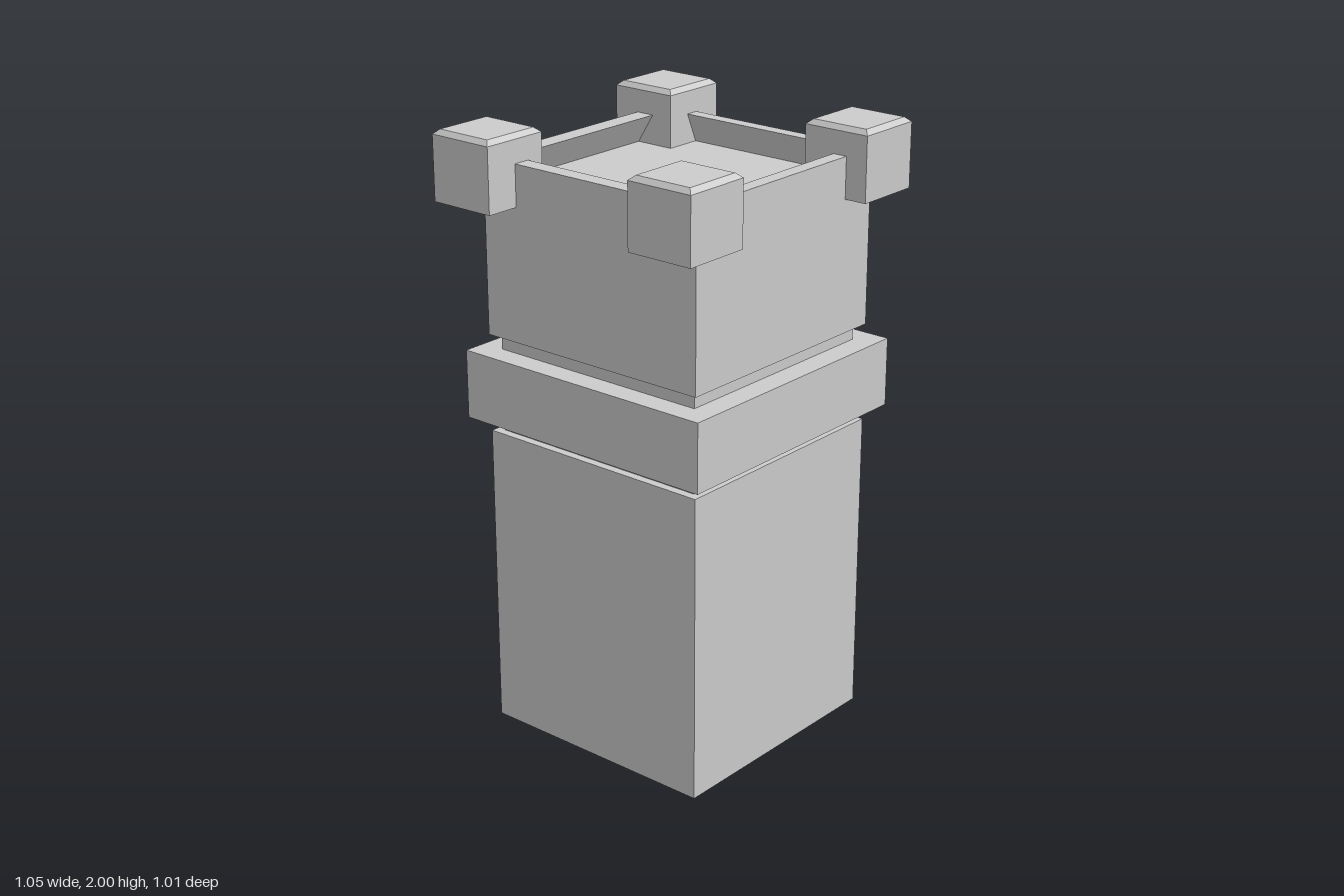
import * as THREE from 'three';

const material = new THREE.MeshStandardMaterial({ color: 0xcccccc, flatShading: true });

// Skin a stack of rectangles [y, x0, x1, z0, z1], closing both ends
function loft(name, sections) {
  const pos = [];
  const rings = sections.map(([y, x0, x1, z0, z1]) =>
    [[x0, y, z1], [x1, y, z1], [x1, y, z0], [x0, y, z0]]);
  const quad = (a, b, c, d) => pos.push(...a, ...b, ...c, ...a, ...c, ...d);
  for (let i = 0; i < rings.length - 1; i++) {
    const lo = rings[i], hi = rings[i + 1];
    for (let k = 0; k < 4; k++) {
      const n = (k + 1) % 4;
      quad(lo[k], lo[n], hi[n], hi[k]);
    }
  }
  const first = rings[0], last = rings[rings.length - 1];
  quad(first[3], first[2], first[1], first[0]);
  quad(last[0], last[1], last[2], last[3]);
  const geometry = new THREE.BufferGeometry();
  geometry.setAttribute('position', new THREE.Float32BufferAttribute(pos, 3));
  geometry.computeVertexNormals();
  const mesh = new THREE.Mesh(geometry, material);
  mesh.name = name;
  return mesh;
}

export function createModel() {
  const tower = new THREE.Group();
  tower.name = 'tower';

  // Square section of a given half width about the tower's axis
  const cx = 0.006, cz = 0.0115;
  const square = (y, h) => [y, cx - h, cx + h, cz - h, cz + h];
  const block = (name, y0, y1, h) => tower.add(loft(name, [square(y0, h), square(y1, h)]));

  block('shaft', 0, 1.018, 0.418);
  block('neck', 1.018, 1.34, 0.39);
  block('band', 1.065, 1.29, 0.469);

  // Upper block: the rim leans inward over a sunken floor
  tower.add(loft('battlement', [
    square(1.34, 0.418),
    square(1.91, 0.418),
    [1.91, -0.356, 0.379, -0.342, 0.381],
    square(1.813, 0.414),
  ]));

  // Corner blocks with chamfered tops
  const size = 0.231, bevel = 0.017;
  const corners = {
    frontLeft: [0.295, 0.2735],
    frontRight: [-0.526, 0.2735],
    backLeft: [0.295, -0.497],
    backRight: [-0.526, -0.5045],
  };
  for (const [corner, [x, z]] of Object.entries(corners)) {
    const section = (y, b) => [y, x + b, x + size - b, z + b, z + size - b];
    tower.add(loft(corner + 'CornerBlock',
      [section(1.775, 0), section(1.985, 0), section(2, bevel)]));
  }
  return tower;
}
